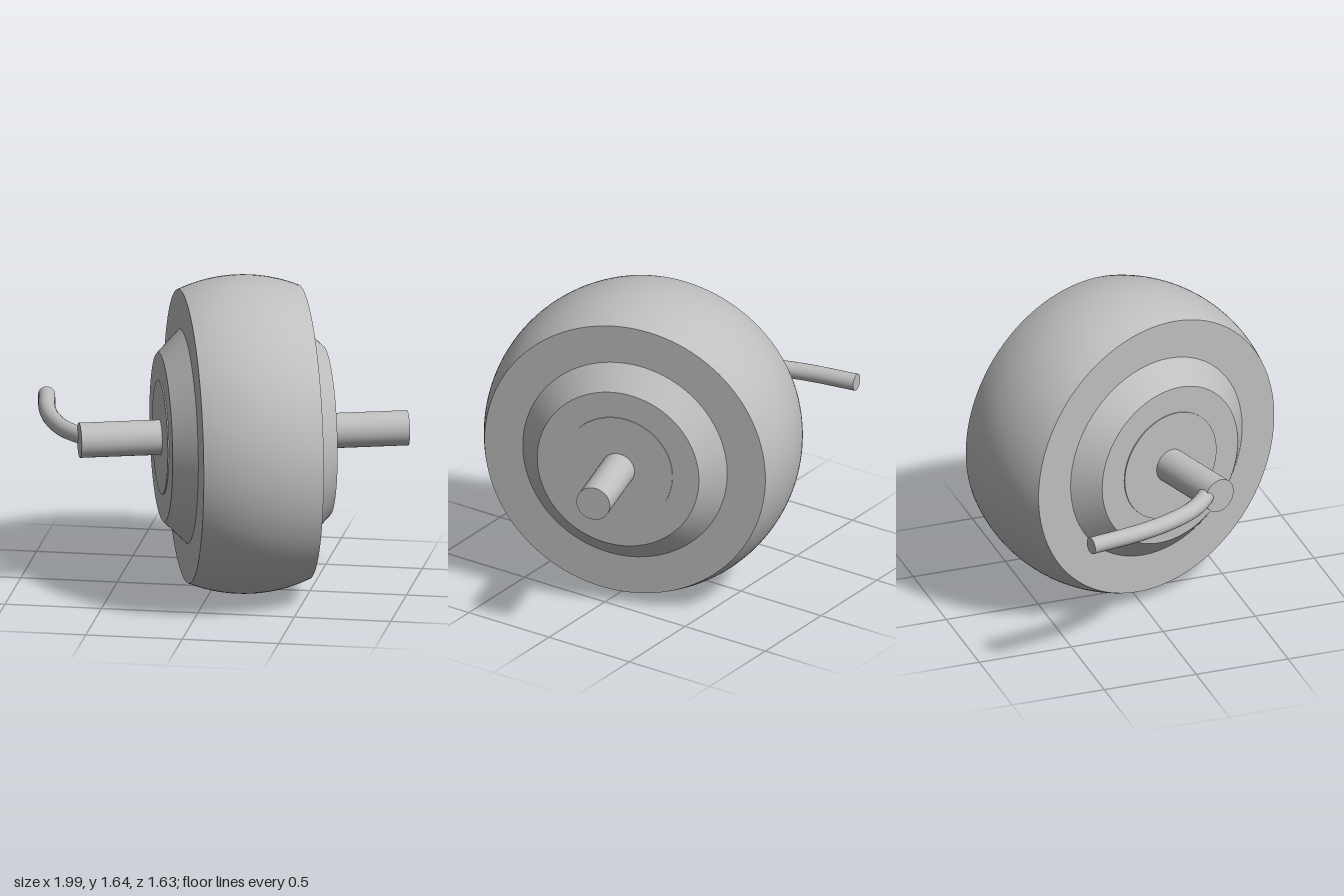
import * as THREE from 'three';
import { toCreasedNormals } from 'three/addons/utils/BufferGeometryUtils.js';

export function createModel() {
  const model = new THREE.Group();
  model.name = 'wheelOnAxle';
  const grey = new THREE.MeshStandardMaterial({ color: 0xbfbfbf });
  grey.name = 'plain grey';

  const centreY = 0.824;

  // Wheel assembly: parts turn about local x, then the whole is yawed
  const wheel = new THREE.Group();
  wheel.name = 'wheel';
  wheel.position.set(0.155, centreY, 0);
  wheel.rotation.y = 0.3;
  model.add(wheel);

  // Revolves [radius, axial] points about the local x axis
  function revolve(name, points, segments) {
    const profile = points.map(([r, a]) => new THREE.Vector2(r, a));
    const geometry = toCreasedNormals(new THREE.LatheGeometry(profile, segments), 0.45);
    geometry.rotateZ(-Math.PI / 2);
    const mesh = new THREE.Mesh(geometry, grey);
    mesh.name = name;
    wheel.add(mesh);
  }

  // Tyre: flat sides and a crowned tread following a circular arc
  const halfWidth = 0.31, maxRadius = 0.818, crown = 0.783;
  const tread = [];
  for (let i = 0; i <= 20; i++) {
    const a = -halfWidth + (2 * halfWidth * i) / 20;
    tread.push([maxRadius - crown + Math.sqrt(crown * crown - a * a), a]);
  }
  revolve('tyre', [[0, -halfWidth], ...tread, [0, halfWidth]], 128);

  // Hub: a bevelled boss on each side
  revolve('hub', [[0, -0.426], [0.434, -0.426], [0.55, -0.309],
    [0.55, 0.309], [0.434, 0.426], [0, 0.426]], 96);

  // Slightly raised bearing cap on each side
  revolve('bearingCaps', [[0, -0.432], [0.293, -0.432], [0.293, 0.432], [0, 0.432]], 96);

  // Axle through the centre
  revolve('axle', [[0, -0.848], [0.09, -0.848], [0.09, 0.848], [0, 0.848]], 48);

  // Bent cable leaving one end of the axle
  const cableRadius = 0.044;
  const path = new THREE.CatmullRomCurve3([
    [-0.957, -0.556], [-0.906, -0.278], [-0.85, -0.104],
    [-0.762, 0.061], [-0.65, 0.172], [-0.56, 0.215],
  ].map(([x, z]) => new THREE.Vector3(x, centreY + 0.002, z)));
  const cable = new THREE.Mesh(new THREE.TubeGeometry(path, 40, cableRadius, 24), grey);
  cable.name = 'cable';
  model.add(cable);

  // Flat end of the cable
  const tip = new THREE.Mesh(new THREE.CircleGeometry(cableRadius, 24), grey);
  tip.name = 'cableEnd';
  tip.position.copy(path.getPoint(0));
  tip.lookAt(path.getPoint(0).sub(path.getTangent(0)));
  model.add(tip);

  return model;
}
